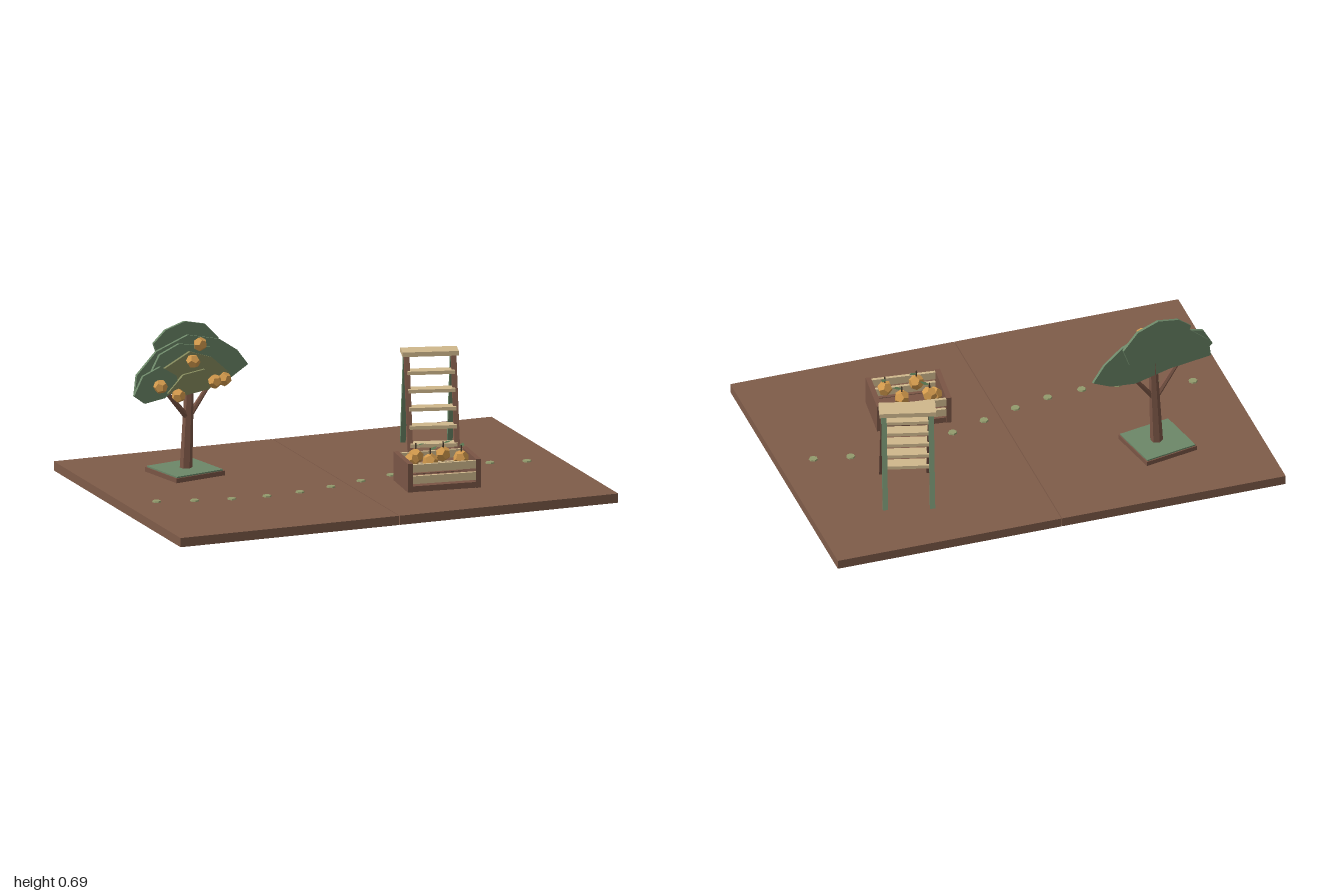
import * as THREE from 'three';

const mat = (name, color) => {
  const m = new THREE.MeshStandardMaterial({ color, flatShading: true });
  m.name = name;
  return m;
};

export function createModel() {
  const earth = mat('earth brown', 0x7f5c49);
  const wood = mat('wood brown', 0x7a5545);
  const green = mat('leaf green', 0x6c8768);
  const olive = mat('olive green', 0x84895c);
  const moss = mat('path green', 0x929a6c);
  const cream = mat('pale wood', 0xcfb78c);
  const orange = mat('orange', 0xd2994c);
  const dark = mat('dark stem', 0x4a3a2c);

  const model = new THREE.Group();
  const group = (name, x, z, yaw) => {
    const g = new THREE.Group();
    g.name = name;
    g.position.set(x, 0.04, z);
    g.rotation.y = yaw;
    model.add(g);
    return g;
  };
  const add = (parent, name, geo, material, x = 0, y = 0, z = 0) => {
    const m = new THREE.Mesh(geo, material);
    m.name = name;
    m.position.set(x, y, z);
    parent.add(m);
    return m;
  };
  const box = (parent, name, material, w, h, d, x, y, z) =>
    add(parent, name, new THREE.BoxGeometry(w, h, d), material, x, y, z);
  // Straight member between two points
  const beam = (parent, name, material, a, b, geoFor) => {
    const p = new THREE.Vector3(...a), q = new THREE.Vector3(...b);
    const dir = q.clone().sub(p);
    const m = add(parent, name, geoFor(dir.length()), material);
    m.position.copy(p).add(q).multiplyScalar(0.5);
    m.quaternion.setFromUnitVectors(new THREE.Vector3(0, 1, 0), dir.normalize());
    return m;
  };

  // Ground: two boards meeting in the middle
  for (const s of [-1, 1])
    box(model, 'groundPanel', earth, 0.998, 0.04, 1.414, s * 0.501, 0.02, 0);

  // Winding path of small stones
  for (let i = 0; i < 12; i++) {
    const x = -0.86 + i * 0.1555;
    const z = 0.1 + 0.09 * Math.cos(Math.PI * (x + 0.39) / 0.93);
    const stone = add(model, 'pathStone', new THREE.CylinderGeometry(0.018, 0.02, 0.006, 7), moss, x, 0.043, z);
    stone.rotation.y = i * 0.7;
  }

  // Tree on its square plinth
  const tree = group('tree', -0.565, -0.305, 0.2);
  box(tree, 'plinth', wood, 0.245, 0.02, 0.24, 0, 0.01, 0);
  box(tree, 'plinthTop', green, 0.235, 0.006, 0.23, 0, 0.023, 0);
  const limb = (r0, r1) => (len) => new THREE.CylinderGeometry(r1, r0, len, 6);
  beam(tree, 'trunk', wood, [0.005, 0.02, 0], [0.025, 0.46, 0], limb(0.027, 0.018));
  beam(tree, 'leftBranch', wood, [0.015, 0.24, 0], [0.12, 0.38, 0.01], limb(0.013, 0.009));
  beam(tree, 'rightBranch', wood, [0.015, 0.24, 0], [-0.12, 0.39, 0.015], limb(0.014, 0.009));

  // Canopy: upright overlapping leaf plates, stepped in depth
  const plates = [
    ['crownPlate', green, -0.034, [[-0.11, 0.50], [-0.14, 0.58], [-0.08, 0.63], [0.02, 0.655], [0.12, 0.63], [0.19, 0.56], [0.16, 0.48], [0.02, 0.45]]],
    ['backPlate', green, -0.012, [[-0.25, 0.38], [-0.24, 0.46], [-0.14, 0.55], [0.02, 0.60], [0.18, 0.56], [0.27, 0.50], [0.325, 0.43], [0.24, 0.385], [0.12, 0.36], [-0.05, 0.38]]],
    ['innerPlate', green, 0.012, [[-0.20, 0.44], [-0.14, 0.54], [-0.04, 0.575], [0.12, 0.54], [0.20, 0.45], [0.18, 0.38], [0.02, 0.37]]],
    ['olivePlate', olive, 0.034, [[-0.20, 0.41], [-0.14, 0.48], [0.0, 0.54], [0.11, 0.50], [0.20, 0.42], [0.13, 0.37], [-0.03, 0.38]]],
    ['sidePlate', green, 0.05, [[-0.295, 0.39], [-0.25, 0.47], [-0.16, 0.50], [-0.08, 0.45], [-0.07, 0.40], [-0.14, 0.36], [-0.24, 0.35]]],
    ['lowOlivePlate', olive, 0.058, [[-0.13, 0.38], [-0.05, 0.45], [0.06, 0.46], [0.13, 0.41], [0.08, 0.37], [-0.04, 0.36]]],
  ];
  for (const [name, material, w, pts] of plates) {
    const shape = new THREE.Shape(pts.map(([x, y]) => new THREE.Vector2(x, y)));
    add(tree, name, new THREE.ExtrudeGeometry(shape, { depth: 0.012, bevelEnabled: false }), material, 0, 0, w - 0.006);
  }

  // Hanging fruit
  const fruit = new THREE.DodecahedronGeometry(0.031);
  [[-0.722, 0.46, -0.195], [-0.635, 0.41, -0.205], [-0.552, 0.543, -0.245],
    [-0.502, 0.602, -0.29], [-0.455, 0.446, -0.24], [-0.393, 0.44, -0.285]]
    .forEach((p, i) => { add(model, 'treeFruit', fruit, orange, ...p).rotation.set(i, i * 0.8, 0); });

  // Step ladder
  const ladder = group('stepLadder', 0.555, -0.31, -0.27);
  const rail = (len) => new THREE.BoxGeometry(0.022, len, 0.026);
  for (const s of [-1, 1]) {
    beam(ladder, 'frontLeg', wood, [s * 0.1, 0, 0.155], [s * 0.1, 0.415, 0.012], rail);
    beam(ladder, 'rearLeg', green, [s * 0.1, 0, -0.122], [s * 0.1, 0.415, -0.012], rail);
  }
  box(ladder, 'topStep', cream, 0.24, 0.02, 0.088, 0, 0.422, 0);
  for (let i = 0; i < 5; i++) {
    const y = 0.053 + i * 0.073;
    box(ladder, 'step', cream, 0.2, 0.015, 0.055, 0, y, 0.155 - 0.143 * y / 0.415);
  }

  // Slatted crate
  const crate = group('fruitCrate', 0.355, 0.263, -0.11);
  box(crate, 'crateFloor', wood, 0.3, 0.02, 0.215, 0, 0.012, 0);
  for (const s of [-1, 1]) {
    box(crate, 'crateEnd', wood, 0.022, 0.125, 0.225, s * 0.15, 0.0625, 0);
    box(crate, 'crateSkirt', wood, 0.3, 0.025, 0.014, 0, 0.0125, s * 0.102);
    for (const y of [0.052, 0.102])
      box(crate, 'crateSlat', cream, 0.3, 0.034, 0.014, 0, y, s * 0.104);
  }

  // Fruit in the crate, each with a stem and a leaf
  const leaf = new THREE.Shape();
  leaf.moveTo(0, 0).lineTo(0.02, 0.012).lineTo(0.045, 0).lineTo(0.02, -0.012);
  const leafGeo = new THREE.ShapeGeometry(leaf).rotateX(-Math.PI / 2);
  const leafGreen = mat('fruit leaf green', 0x58744f);
  leafGreen.side = THREE.DoubleSide;
  [[-0.08, -0.05], [0.04, -0.052], [-0.045, 0.05], [0.095, 0.034], [-0.105, -0.035]].forEach(([x, z], i) => {
    const y = i < 4 ? 0.115 : 0.1;
    add(crate, 'crateFruit', new THREE.DodecahedronGeometry(0.034), orange, x, y, z).rotation.set(i * 0.9, i, 0.3);
    if (i === 4) return;
    add(crate, 'fruitStem', new THREE.CylinderGeometry(0.003, 0.004, 0.028, 5), dark, x, y + 0.042, z);
    const l = add(crate, 'fruitLeaf', leafGeo, leafGreen, x, y + 0.046, z);
    l.rotation.set(0, i * 0.5 - 0.4, 0.25);
  });

  return model;
}
